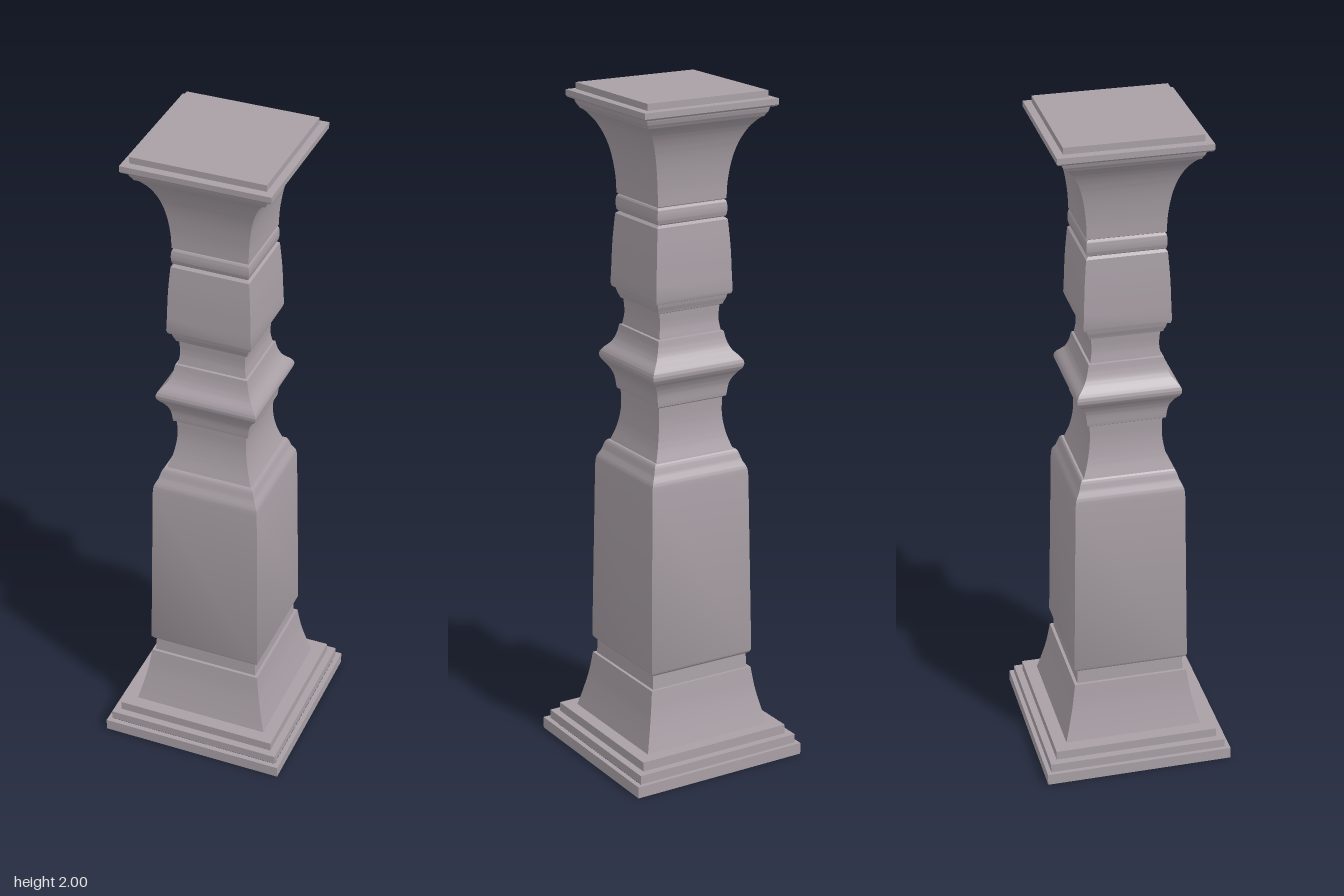
import * as THREE from 'three';
import { toCreasedNormals } from 'three/addons/utils/BufferGeometryUtils.js';

const material = new THREE.MeshStandardMaterial({ color: 0xa9a0a6, side: THREE.DoubleSide });

// Smooth run through a few [halfWidth, y] points
const curve = (...pts) =>
  new THREE.SplineCurve(pts.map(([w, y]) => new THREE.Vector2(w, y)))
    .getPoints(pts.length * 4)
    .map((p) => [p.x, p.y]);

// Square shell: a four-sided lathe of a [halfWidth, y] profile, bottom to top
function squareTurned(name, profile) {
  const points = profile.map(([w, y]) => new THREE.Vector2(w * Math.SQRT2, y));
  const lathe = new THREE.LatheGeometry(points, 4, Math.PI / 4);
  const mesh = new THREE.Mesh(toCreasedNormals(lathe, 0.6), material);
  mesh.name = name;
  return mesh;
}

export function createModel() {
  const model = new THREE.Group();
  model.name = 'column';
  const post = new THREE.Group();
  post.name = 'post';
  post.position.set(-0.0015, 0, -0.0015);
  model.add(post);

  // Stepped plinth, open underneath
  model.add(squareTurned('plinthBase', [[0.283, 0], [0.283, 0.035], [0.268, 0.035]]));

  // Each part begins where the one below ends, so the shell is continuous
  const parts = {
    plinthSteps: [[0.269, 0.035], [0.269, 0.062], [0.247, 0.062], [0.247, 0.09], [0.208, 0.09]],
    flaredFoot: curve([0.208, 0.09], [0.194, 0.145], [0.181, 0.205], [0.172, 0.268]),
    footBand: [[0.172, 0.268], [0.163, 0.268], [0.161, 0.31], [0.169, 0.317]],
    lowerShaft: [
      [0.169, 0.317], [0.173, 0.325],
      ...curve([0.163, 0.87], [0.16, 0.895], [0.15, 0.915]),
      ...curve([0.147, 0.925], [0.141, 0.943], [0.136, 0.95]),
    ],
    lowerNeck: [
      [0.136, 0.95],
      ...curve([0.13, 0.95], [0.117, 0.99], [0.109, 1.03], [0.106, 1.065], [0.107, 1.105]),
    ],
    middleKnop: [
      [0.107, 1.105], [0.115, 1.11],
      ...curve([0.116, 1.115], [0.121, 1.15], [0.134, 1.177], [0.149, 1.197], [0.152, 1.213],
        [0.145, 1.228], [0.126, 1.25], [0.115, 1.275], [0.109, 1.303]),
      [0.103, 1.305],
    ],
    upperNeck: curve([0.103, 1.305], [0.098, 1.34], [0.1, 1.38]),
    neckCollar: [
      [0.1, 1.38], [0.107, 1.383],
      ...curve([0.108, 1.388], [0.113, 1.4], [0.116, 1.412]),
      [0.124, 1.415],
    ],
    upperShaft: [[0.124, 1.415], [0.127, 1.425], ...curve([0.125, 1.47], [0.122, 1.55], [0.116, 1.63]), [0.108, 1.637]],
    bead: curve([0.108, 1.637], [0.113, 1.643], [0.115, 1.662], [0.113, 1.681], [0.108, 1.687]),
    capital: [
      [0.108, 1.687],
      ...curve([0.113, 1.69], [0.115, 1.74], [0.123, 1.8], [0.136, 1.85], [0.154, 1.89], [0.172, 1.915], [0.182, 1.925]),
      [0.188, 1.928],
      ...curve([0.189, 1.932], [0.196, 1.943], [0.199, 1.955]),
    ],
    capPlate: [[0.199, 1.955], [0.212, 1.957], [0.216, 1.962], [0.216, 1.979], [0.195, 1.981], [0.195, 2]],
  };
  for (const [name, profile] of Object.entries(parts)) post.add(squareTurned(name, profile));

  // Flat top
  const top = new THREE.Mesh(new THREE.PlaneGeometry(0.39, 0.39).rotateX(-Math.PI / 2), material);
  top.name = 'capTop';
  top.position.y = 2;
  post.add(top);

  return model;
}
